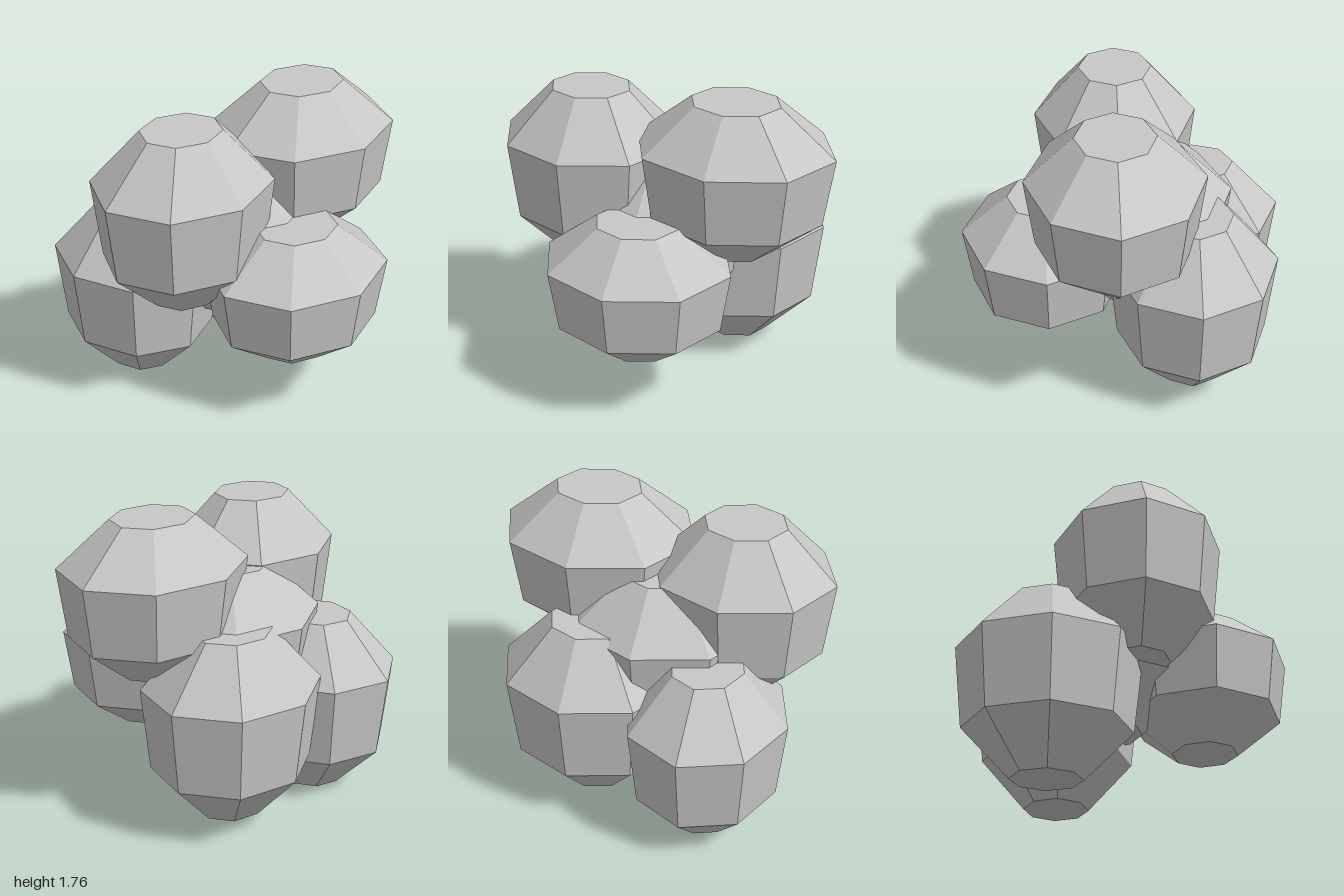
import * as THREE from 'three';

// Shared faceted boulder: eight sides, unit radius, unit height, base at y = 0
const PROFILE = [[0, 0], [0.385, 0], [0.9, 0.263], [1, 0.708], [0.445, 1], [0, 1]];

// name, centre x, centre z, base y, radius x, radius z, height
const BOULDERS = [
  ['upperLeftBoulder', 0.42, 0.08, 0.863, 0.58, 0.5, 0.897],
  ['upperRightBoulder', -0.465, 0.04, 0.687, 0.535, 0.48, 1.028],
  ['frontBoulder', -0.005, 0.47, 0.327, 0.552, 0.497, 0.803],
  ['lowerRightBoulder', -0.42, -0.447, 0, 0.472, 0.522, 1.067],
  ['lowerLeftBoulder', 0.3, -0.372, 0.073, 0.542, 0.492, 1.092],
  ['coreBoulder', -0.03, -0.095, 0.43, 0.58, 0.525, 0.98],
];

export function createModel() {
  const group = new THREE.Group();
  group.name = 'boulderCluster';

  const stone = new THREE.MeshStandardMaterial({ color: 0xc7c7c7, flatShading: true });
  stone.name = 'stone grey';

  const points = PROFILE.map(([r, y]) => new THREE.Vector2(r, y));
  for (const [name, x, z, base, rx, rz, height] of BOULDERS) {
    const geometry = new THREE.LatheGeometry(points, 8).toNonIndexed();
    geometry.scale(rx, height, rz);
    geometry.computeVertexNormals();
    const boulder = new THREE.Mesh(geometry, stone);
    boulder.name = name;
    boulder.position.set(x, base, z);
    group.add(boulder);
  }
  return group;
}
